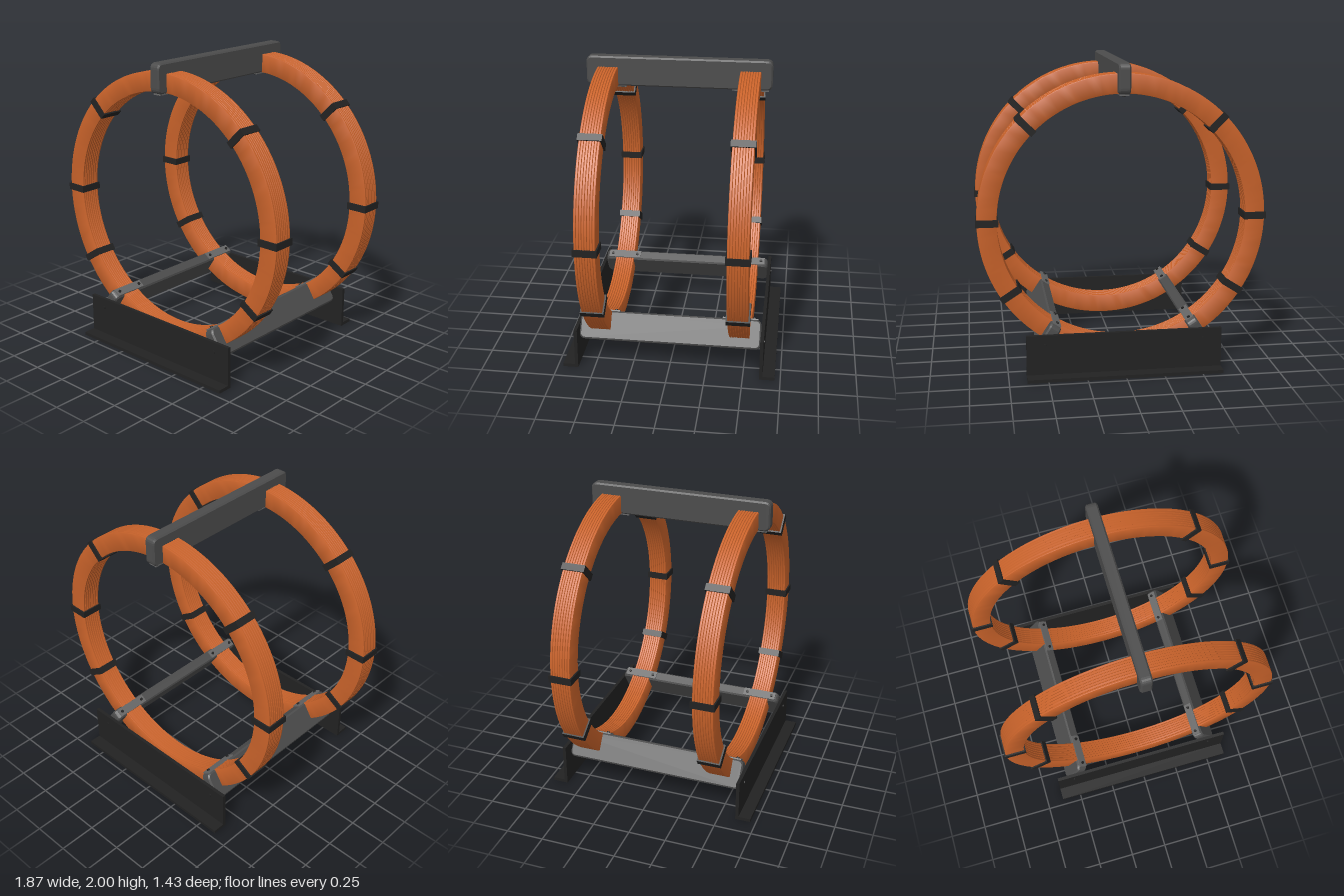
import * as THREE from 'three';
import { toCreasedNormals } from 'three/addons/utils/BufferGeometryUtils.js';

const CENTRE_Y = 1.005, R_IN = 0.8, R_OUT = 0.927, COIL_Z = 0.468, COIL_W = 0.135;
const mat = (color) => new THREE.MeshStandardMaterial({ color });
const copper = mat(0xc8622a), black = mat(0x222222), grey = mat(0x4c4c4c), light = mat(0x666666);

function add(parent, name, geometry, material, x = 0, y = 0, z = 0) {
  const mesh = new THREE.Mesh(geometry, material);
  mesh.name = name;
  mesh.position.set(x, y, z);
  parent.add(mesh);
  return mesh;
}

// Ring cross-section: flat sides, wire ridges on the outer and inner faces
function coilGeometry() {
  const wires = 8, depth = 0.006, h = COIL_W / 2, pts = [];
  const ridges = (r, sign) => {
    for (let i = 0; i < wires; i++) {
      for (const [t, d] of [[0, 1], [0.15, 0.2], [0.5, 0], [0.85, 0.2]]) {
        pts.push(new THREE.Vector2(r - sign * d * depth, sign * (-h + (COIL_W * (i + t)) / wires)));
      }
    }
    pts.push(new THREE.Vector2(r - sign * depth, sign * h));
  };
  ridges(R_OUT, 1);
  ridges(R_IN, -1);
  pts.push(pts[0].clone());
  const g = new THREE.LatheGeometry(pts, 120);
  g.rotateX(Math.PI / 2);
  return toCreasedNormals(g, 0.6);
}

// Bar outline along z and the radius, rounded corners and bevelled long edges
function barGeometry() {
  const b = 0.01, w = 0.61 - b, y0 = R_IN + b, y1 = 0.995 - b, r = 0.03, t = 0.076;
  const s = new THREE.Shape();
  s.moveTo(-w + r, y0);
  s.lineTo(w - r, y0);
  s.quadraticCurveTo(w, y0, w, y0 + r);
  s.lineTo(w, y1 - r);
  s.quadraticCurveTo(w, y1, w - r, y1);
  s.lineTo(-w + r, y1);
  s.quadraticCurveTo(-w, y1, -w, y1 - r);
  s.lineTo(-w, y0 + r);
  s.quadraticCurveTo(-w, y0, -w + r, y0);
  const g = new THREE.ExtrudeGeometry(s, {
    depth: t - 2 * b, bevelEnabled: true, bevelThickness: b, bevelSize: b, bevelSegments: 1, curveSegments: 5,
  });
  g.translate(0, 0, -t / 2 + b);
  g.rotateY(Math.PI / 2);
  return g;
}

// Group whose local +y points outward from the coil axis
function radial(parent, name, degrees) {
  const g = new THREE.Group();
  g.name = name;
  g.position.y = CENTRE_Y;
  g.rotation.z = THREE.MathUtils.degToRad(degrees - 90);
  parent.add(g);
  return g;
}

export function createModel() {
  const model = new THREE.Group();
  model.name = 'coilPair';

  // Two coils with binding straps
  const coil = coilGeometry();
  const strap = new THREE.BoxGeometry(0.046, 0.144, 0.155);
  for (const side of [1, -1]) {
    const prefix = side > 0 ? 'front' : 'back';
    add(model, prefix + 'Coil', coil, copper, 0, CENTRE_Y, side * COIL_Z);
    for (const angle of [0, 45, 135, 180, 213, 327]) {
      add(radial(model, prefix + 'StrapMount', angle), prefix + 'Strap', strap, black, 0, 0.8625, side * COIL_Z);
    }
  }

  // Three spacer bars with retaining plates and screws on their inner edge
  const bar = barGeometry();
  const plate = new THREE.BoxGeometry(0.058, 0.008, 0.238);
  const screw = new THREE.CylinderGeometry(0.01, 0.01, 0.01, 16);
  for (const [name, angle] of [['topBar', 90], ['rightBar', 237], ['leftBar', 303]]) {
    const g = radial(model, name + 'Assembly', angle);
    add(g, name, bar, grey);
    for (const side of [1, -1]) {
      add(g, 'retainingPlate', plate, light, 0, R_IN - 0.004, side * COIL_Z);
      for (const dz of [-0.092, 0.092]) {
        add(g, 'plateScrew', screw, black, 0, R_IN - 0.011, side * COIL_Z + dz);
      }
    }
  }

  // Angle-section feet with screws into the lower bars
  const profile = new THREE.Shape([
    [0.61, 0], [0.713, 0], [0.713, 0.022], [0.632, 0.022], [0.632, 0.285], [0.61, 0.285],
  ].map(([z, y]) => new THREE.Vector2(-z, y)));
  const foot = new THREE.ExtrudeGeometry(profile, { depth: 1.27, bevelEnabled: false });
  foot.translate(0, 0, -0.635);
  foot.rotateY(Math.PI / 2);
  for (const side of [1, -1]) {
    const g = new THREE.Group();
    g.name = side > 0 ? 'frontFoot' : 'backFoot';
    g.rotation.y = side > 0 ? 0 : Math.PI;
    model.add(g);
    add(g, 'angleBracket', foot, black);
    for (const x of [-0.515, 0.515]) {
      add(g, 'footScrew', screw, black, x, 0.22, 0.633).rotation.x = Math.PI / 2;
    }
  }
  return model;
}
